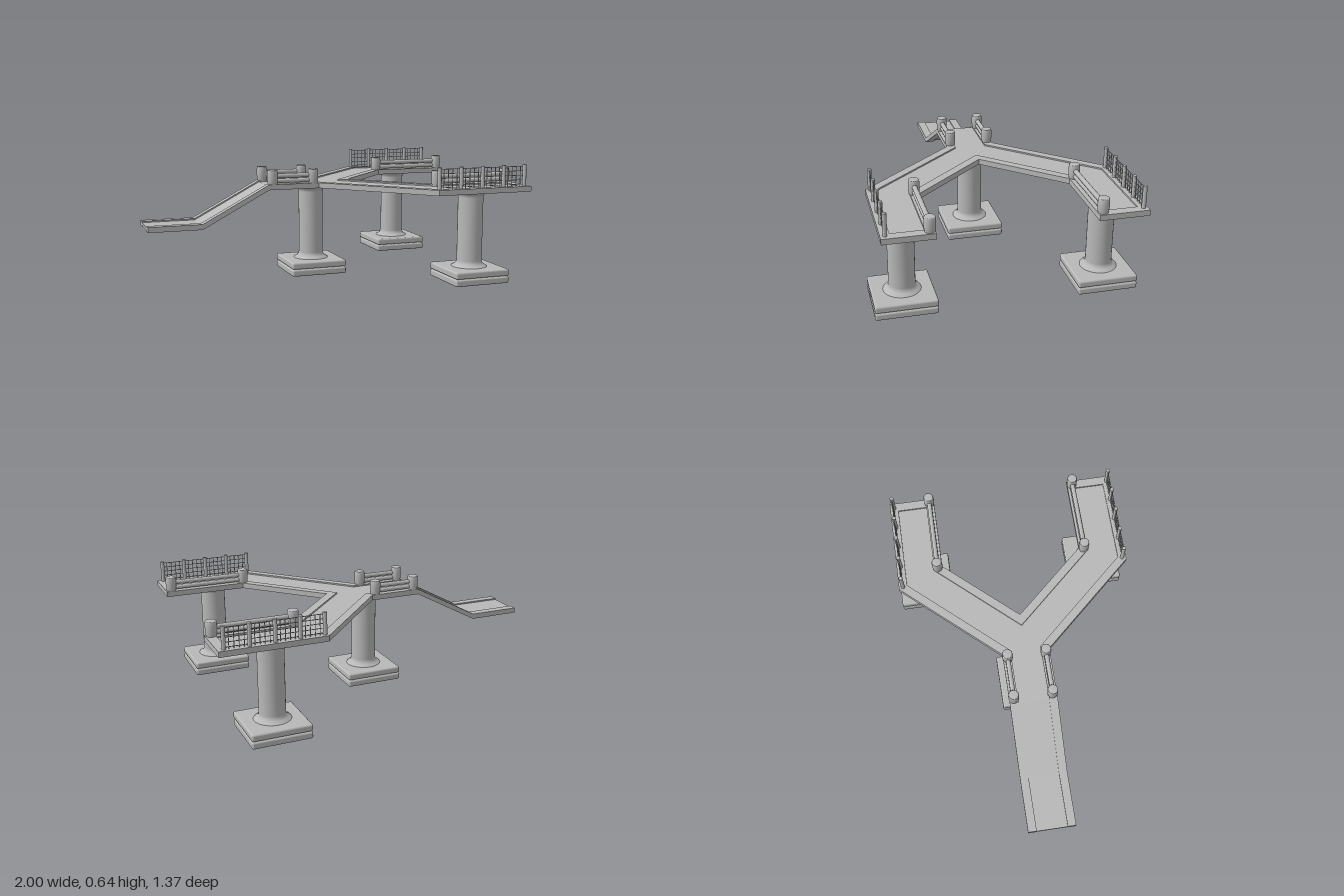
import * as THREE from 'three';
import { RoundedBoxGeometry } from 'three/addons/geometries/RoundedBoxGeometry.js';

const TOP = 0.525; // walking level of the raised deck

export function createModel() {
  const model = new THREE.Group();
  model.name = 'forkedWalkway';
  const concrete = new THREE.MeshStandardMaterial({ color: 0xb8b8b8 });
  concrete.name = 'grey concrete';

  const add = (name, geometry, x = 0, y = 0, z = 0, parent = model) => {
    const mesh = new THREE.Mesh(geometry, concrete);
    mesh.name = name;
    mesh.position.set(x, y, z);
    parent.add(mesh);
    return mesh;
  };
  const shapeOf = (pts) => new THREE.Shape(pts.map(([a, b]) => new THREE.Vector2(a, b)));

  // Horizontal slab from an x/z outline, hanging down from y = top
  const slab = (name, pts, top, depth) => {
    const g = new THREE.ExtrudeGeometry(shapeOf(pts), { depth, bevelEnabled: false });
    g.rotateX(Math.PI / 2);
    return add(name, g, 0, top, 0);
  };
  // Mirrors half an outline across z = 0; the last point lies on the axis
  const mirrored = (half) => [...half, ...half.slice(0, -1).reverse().map(([x, z]) => [x, -z])];

  // Forked deck: a raised rim around a thinner floor
  const outer = mirrored([[-0.33, 0.132], [-0.04, 0.132], [0.44, 0.66], [0.997, 0.66],
    [0.997, 0.4], [0.55, 0.4], [0.185, 0]]);
  const inner = mirrored([[-0.33, 0.085], [-0.02, 0.085], [0.46, 0.613], [0.946, 0.613],
    [0.946, 0.447], [0.53, 0.447], [0.12, 0]]);
  slab('deckRim', [...outer, ...inner.slice().reverse()], TOP, 0.03);
  slab('deckFloor', inner, TOP - 0.008, 0.015);

  // Ramp with a flat landing: side profile extruded across its width
  const ramp = (name, inset, thick, z0, z1) => {
    const top = [[-1, 0.325], [-0.705, 0.325], [-0.33, TOP]];
    const pts = [...top.map(([x, y]) => [x, y - inset]),
      ...top.slice().reverse().map(([x, y]) => [x, y - inset - thick])];
    const g = new THREE.ExtrudeGeometry(shapeOf(pts), { depth: z1 - z0, bevelEnabled: false });
    add(name, g, 0, 0, z0);
  };
  ramp('rampRimLeft', 0, 0.03, 0.085, 0.132);
  ramp('rampRimRight', 0, 0.03, -0.132, -0.085);
  ramp('rampFloor', 0.008, 0.015, -0.085, 0.085);

  // Pillars with flared ends on stepped square footings
  const pillarProfile = [[0.1, 0.078], [0.094, 0.084], [0.08, 0.092], [0.072, 0.102], [0.069, 0.115],
    [0.069, 0.465], [0.073, 0.478], [0.082, 0.487], [0.094, 0.495], [0, 0.496]]
    .map(([r, y]) => new THREE.Vector2(r, y));
  const pillarGeo = new THREE.LatheGeometry(pillarProfile, 32);
  const footGeo = new RoundedBoxGeometry(0.32, 0.038, 0.32, 3, 0.01);
  for (const [x, z] of [[-0.045, 0], [0.7, 0.527], [0.7, -0.527]]) {
    const support = new THREE.Group();
    support.name = 'support';
    support.position.set(x, 0, z);
    model.add(support);
    add('pillar', pillarGeo, 0, 0, 0, support);
    add('lowerFooting', footGeo, 0, 0.021, 0, support);
    add('upperFooting', footGeo, 0, 0.061, 0, support);
  }

  // Low railings: two barrel posts joined by two bars
  const postProfile = [[0.025, 0], [0.028, 0.012], [0.0295, 0.035], [0.0295, 0.06], [0.028, 0.077],
    [0.025, 0.081], [0, 0.081]].map(([r, y]) => new THREE.Vector2(r, y));
  const postGeo = new THREE.LatheGeometry(postProfile, 20);
  const railing = (x0, x1, z) => {
    const group = new THREE.Group();
    group.name = 'railing';
    model.add(group);
    for (const x of [x0, x1]) add('railingPost', postGeo, x, TOP - 0.002, z, group);
    for (const y of [0.542, 0.57]) {
      const bar = new THREE.CylinderGeometry(0.013, 0.013, x1 - x0, 12).rotateZ(Math.PI / 2);
      add('railingBar', bar, (x0 + x1) / 2, y, z, group);
    }
  };

  // Mesh fences: five slim posts with a wire net between them
  const fence = (z) => {
    const group = new THREE.Group();
    group.name = 'fence';
    model.add(group);
    const x0 = 0.452, x1 = 0.965, cells = 20;
    const slimPost = new THREE.CylinderGeometry(0.011, 0.011, 0.118, 12);
    const upright = new THREE.CylinderGeometry(0.002, 0.002, 0.108, 6);
    const wire = new THREE.CylinderGeometry(0.002, 0.002, x1 - x0, 6).rotateZ(Math.PI / 2);
    for (let i = 0; i <= cells; i++) {
      const x = x0 + (x1 - x0) * i / cells;
      if (i % 5 === 0) add('fencePost', slimPost, x, 0.583, z, group);
      else add('netUpright', upright, x, 0.579, z, group);
    }
    for (let i = 0; i < 5; i++) add('netWire', wire, (x0 + x1) / 2, 0.535 + i * 0.0245, z, group);
  };

  for (const side of [1, -1]) {
    railing(-0.305, -0.068, side * 0.107);
    railing(0.542, 0.966, side * 0.426);
    fence(side * 0.636);
  }
  return model;
}
